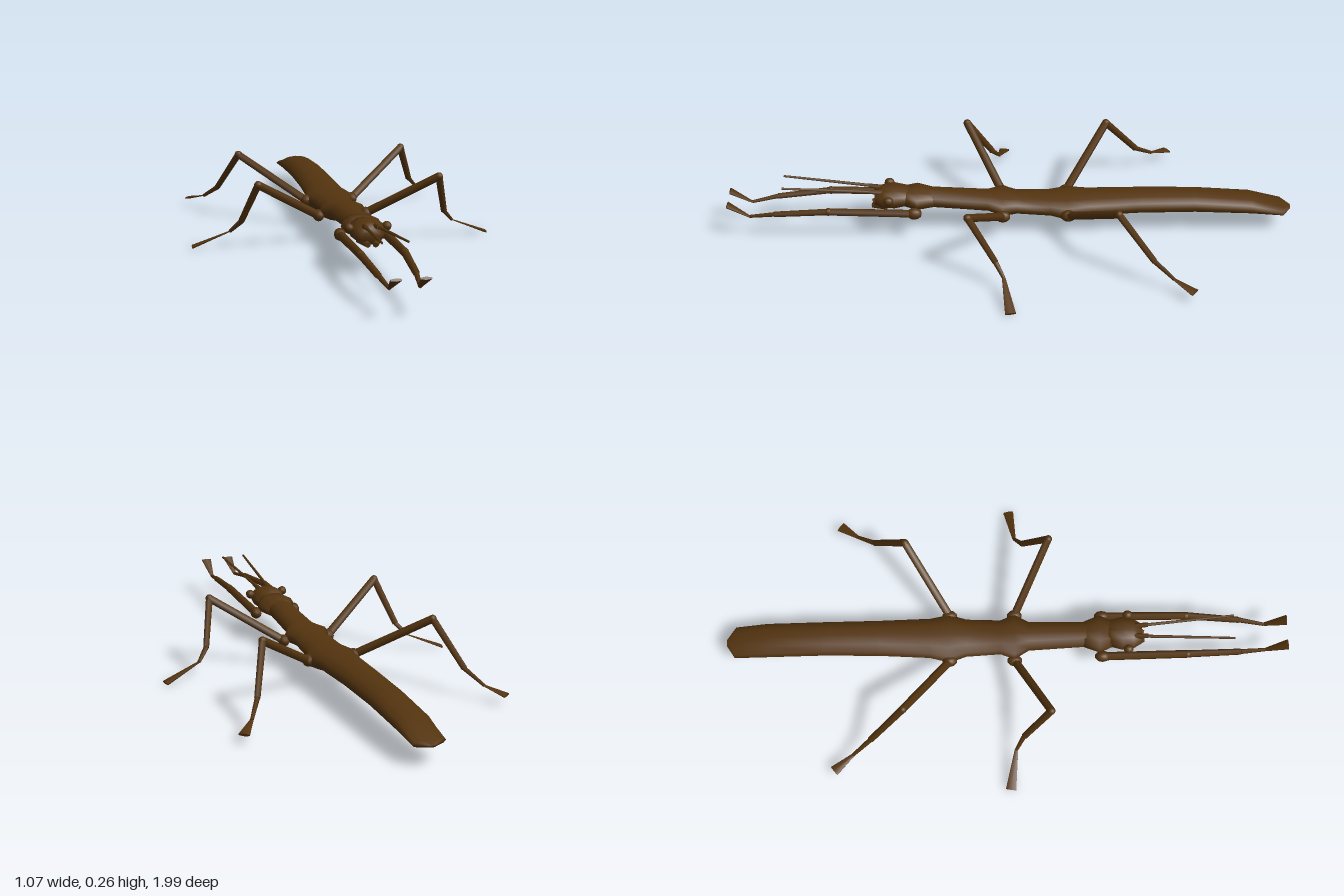
import * as THREE from 'three';

const bark = new THREE.MeshStandardMaterial({ color: 0x54340f });
bark.name = 'barkBrown';

// Closed loft along z; each ring is [z, halfWidth, top, bottom]
function loft(rings, sides = 12) {
  const pos = [], idx = [];
  for (const [z, w, top, bottom] of rings) {
    for (let i = 0; i < sides; i++) {
      const a = (i / sides) * Math.PI * 2;
      pos.push(Math.cos(a) * w, (top + bottom) / 2 + Math.sin(a) * (top - bottom) / 2, z);
    }
  }
  for (let r = 0; r < rings.length - 1; r++) {
    for (let i = 0; i < sides; i++) {
      const a = r * sides + i, b = r * sides + (i + 1) % sides;
      idx.push(a, b, b + sides, a, b + sides, a + sides);
    }
  }
  // end caps
  const last = (rings.length - 1) * sides;
  for (let i = 1; i < sides - 1; i++) {
    idx.push(0, i + 1, i, last, last + i, last + i + 1);
  }
  const g = new THREE.BufferGeometry();
  g.setAttribute('position', new THREE.Float32BufferAttribute(pos, 3));
  g.setIndex(idx);
  g.computeVertexNormals();
  return g;
}

function part(parent, name, geometry) {
  const m = new THREE.Mesh(geometry, bark);
  m.name = name;
  parent.add(m);
  return m;
}

// Tapered segment from a to b; flat < 1 squashes it vertically
function segment(parent, name, a, b, r0, r1, sides = 6, flat = 1) {
  const from = new THREE.Vector3(...a), to = new THREE.Vector3(...b);
  const g = new THREE.CylinderGeometry(r1, r0, from.distanceTo(to), sides);
  g.rotateX(Math.PI / 2).scale(1, flat, 1);
  const m = part(parent, name, g);
  m.position.copy(from).lerp(to, 0.5);
  m.lookAt(to);
  return m;
}

function ball(parent, name, p, rx, ry, rz) {
  const m = part(parent, name, new THREE.SphereGeometry(1, 10, 8));
  m.scale.set(rx, ry, rz);
  m.position.set(...p);
  return m;
}

// Joints of the left legs: hip, knee, shin end, foot start, foot tip
const legs = {
  front: [[0.075, 0.11, 0.34], [0.072, 0.12, 0.64], [0.06, 0.105, 0.83], [0.048, 0.09, 0.92], [0.046, 0.138, 0.995]],
  middle: [[0.085, 0.1, 0.03], [0.318, 0.248, 0.152], [0.364, 0.1, 0.06], [0.4, 0.06, 0.033], [0.53, 0.006, 0.013]],
  rear: [[0.085, 0.1, -0.2], [0.308, 0.248, -0.355], [0.372, 0.1, -0.475], [0.415, 0.055, -0.54], [0.465, 0.035, -0.605]],
};

export function createModel() {
  const root = new THREE.Group();
  root.name = 'stickInsect';

  // long body from tail to neck
  part(root, 'body', loft([
    [-0.995, 0.012, 0.08, 0.07],
    [-0.965, 0.058, 0.09, 0.06],
    [-0.85, 0.063, 0.126, 0.066],
    [-0.65, 0.063, 0.144, 0.073],
    [-0.45, 0.066, 0.146, 0.073],
    [-0.27, 0.074, 0.141, 0.069],
    [-0.2, 0.09, 0.143, 0.056],
    [-0.14, 0.07, 0.139, 0.068],
    [-0.02, 0.064, 0.141, 0.077],
    [0.03, 0.084, 0.15, 0.076],
    [0.08, 0.054, 0.15, 0.084],
    [0.28, 0.047, 0.165, 0.1],
    [0.36, 0.046, 0.17, 0.105],
  ]));

  // front thorax and head
  part(root, 'frontThorax', loft([
    [0.27, 0.046, 0.163, 0.1], [0.33, 0.07, 0.172, 0.098], [0.375, 0.05, 0.172, 0.104],
  ]));
  part(root, 'head', loft([
    [0.36, 0.048, 0.172, 0.108], [0.41, 0.062, 0.181, 0.1],
    [0.45, 0.055, 0.176, 0.1], [0.48, 0.036, 0.162, 0.108],
  ]));

  for (const s of [1, -1]) {
    const side = s > 0 ? 'left' : 'right';
    const at = (p) => [p[0] * s, p[1], p[2]];

    ball(root, side + 'Eye', at([0.064, 0.155, 0.43]), 0.016, 0.016, 0.018);
    segment(root, side + 'Mandible', at([0.028, 0.118, 0.44]), at([0.012, 0.108, 0.488]), 0.018, 0.01);
    segment(root, side + 'AntennaBase', at([0.018, 0.163, 0.45]), at([0.021, 0.169, 0.5]), 0.01, 0.008);
    segment(root, side + 'Antenna', at([0.021, 0.168, 0.49]), at([0.042, 0.199, 0.8]), 0.006, 0.004, 5);

    for (const [name, joints] of Object.entries(legs)) {
      const leg = new THREE.Group();
      leg.name = side + name[0].toUpperCase() + name.slice(1) + 'Leg';
      root.add(leg);
      const [hip, knee, shin, ankle, toe] = joints.map(at);
      ball(leg, 'hip', hip, 0.02, 0.021, 0.027);
      segment(leg, 'thigh', hip, knee, 0.015, 0.014);
      ball(leg, 'knee', knee, 0.014, 0.014, 0.014);
      segment(leg, 'shin', knee, shin, 0.013, 0.011);
      segment(leg, 'ankle', shin, ankle, 0.009, 0.006);
      segment(leg, 'foot', ankle, toe, 0.007, 0.021, 6, 0.25);
    }
  }
  return root;
}
